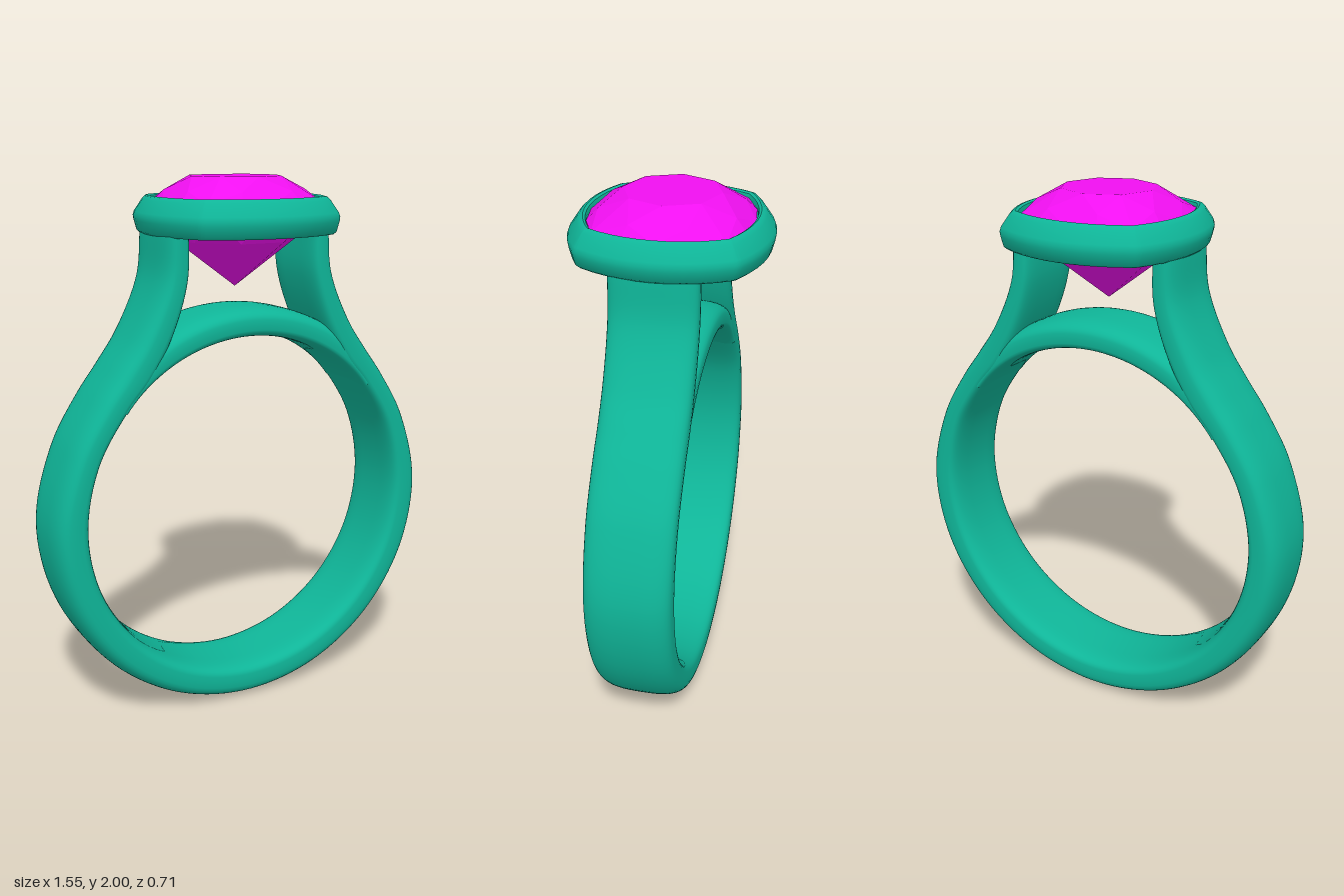
import * as THREE from 'three';
import { toCreasedNormals } from 'three/addons/utils/BufferGeometryUtils.js';
import { ConvexGeometry } from 'three/addons/geometries/ConvexGeometry.js';

const CENTRE_Y = 0.785, INNER_R = 0.645;
const GIRDLE_HALF = 0.288, CORNER = 0.226, SIDE_R = 0.443;

// Skin through closed loops of points; optionally joins the last loop to the first.
function loft(loops, closed = false) {
  const n = loops[0].length, index = [];
  const steps = closed ? loops.length : loops.length - 1;
  for (let i = 0; i < steps; i++) {
    const r = i * n, s = ((i + 1) % loops.length) * n;
    for (let j = 0; j < n; j++) {
      const k = (j + 1) % n;
      index.push(r + j, s + j, r + k, s + j, s + k, r + k);
    }
  }
  const g = new THREE.BufferGeometry().setFromPoints(loops.flat());
  g.setIndex(index);
  g.computeVertexNormals();
  return g;
}

// Rounded band section between an inner and an outer point.
function bandSection(inner, outer, halfWidth, sides = 40) {
  const loop = [];
  for (let j = 0; j < sides; j++) {
    const a = (j / sides) * Math.PI * 2, c = Math.cos(a), s = Math.sin(a);
    const e = c > 0 ? 2 / 3 : 2 / 4;
    const u = 0.45 + (c > 0 ? 0.55 : -0.45) * Math.abs(c) ** e;
    const p = new THREE.Vector3().lerpVectors(inner, outer, u);
    p.z = -halfWidth * Math.sign(s) * Math.abs(s) ** e;
    loop.push(p);
  }
  return loop;
}

function polar(r, deg) {
  const a = THREE.MathUtils.degToRad(deg);
  return new THREE.Vector3(r * Math.cos(a), CENTRE_Y + r * Math.sin(a), 0);
}

// Cushion outline: four bowed sides, grown outward by d (or scaled inward).
function cushion(d, y, sideSteps = 10, cornerSteps = 6) {
  const a = Math.asin(CORNER / SIDE_R), grow = Math.max(d, 0);
  const scale = d < 0 ? 1 + d / GIRDLE_HALF : 1;
  const pts = [];
  for (let q = 0; q < 4; q++) {
    const add = (x, z, ang) => {
      const v = new THREE.Vector3(x + grow * Math.cos(ang), 0, z + grow * Math.sin(ang));
      v.multiplyScalar(scale).applyAxisAngle(new THREE.Vector3(0, 1, 0), -q * Math.PI / 2);
      v.y = y;
      pts.push(v);
    };
    for (let i = 0; i <= sideSteps; i++) {
      const t = -a + (2 * a * i) / sideSteps;
      add(GIRDLE_HALF - SIDE_R + SIDE_R * Math.cos(t), SIDE_R * Math.sin(t), t);
    }
    for (let i = 1; i < cornerSteps; i++) {
      add(CORNER, CORNER, a + ((Math.PI / 2 - 2 * a) * i) / cornerSteps);
    }
  }
  return pts;
}

// Shank: lower hoop whose two ends sweep up to the setting.
function shankGeometry() {
  const v = ([x, y]) => new THREE.Vector3(x, y, 0);
  const inner = [[0.245, 1.82], [0.25, 1.65], [0.305, 1.47], [0.39, 1.32], [0.48, 1.216]].map(v);
  const outer = [[0.33, 1.82], [0.35, 1.65], [0.44, 1.46], [0.523, 1.345], [0.6, 1.24]].map(v);
  const hoop = [[22, 0.755], [0, 0.775], [-22.5, 0.78], [-45, 0.78], [-67.5, 0.78], [-90, 0.78]];
  for (const [deg, r] of hoop) {
    inner.push(polar(INNER_R, deg));
    outer.push(polar(r, deg));
  }
  const mirrored = (pts) => new THREE.CatmullRomCurve3(
    [...pts, ...pts.slice(0, -1).reverse().map((p) => new THREE.Vector3(-p.x, p.y, 0))]);
  const ci = mirrored(inner), co = mirrored(outer), loops = [];
  for (let i = 0; i <= 160; i++) {
    loops.push(bandSection(ci.getPoint(i / 160), co.getPoint(i / 160), 0.155));
  }
  return loft(loops);
}

// Bridge: arc closing the finger hole below the setting, thinning into the shank.
function bridgeGeometry() {
  const loops = [];
  for (let i = 0; i <= 50; i++) {
    const deg = 140 - 2 * i;
    const r = 0.755 - 0.06 * (Math.abs(deg - 90) / 50) ** 4;
    loops.push(bandSection(polar(INNER_R, deg), polar(r, deg), 0.15));
  }
  return loft(loops);
}

// Bezel: closed profile of [offset, height] carried round the cushion outline.
function bezelGeometry() {
  const profile = [
    [-0.07, 1.8], [0.045, 1.8], [0.055, 1.808], [0.065, 1.845], [0.067, 1.86], [0.062, 1.875],
    [0.032, 1.918], [0.022, 1.928], [0.012, 1.931], [0.003, 1.926], [0, 1.915], [0, 1.89], [-0.06, 1.82],
  ];
  return toCreasedNormals(loft(profile.map(([d, y]) => cushion(d, y)), true), 0.75);
}

// Gemstone: faceted hull of table, crown, girdle, pavilion and culet.
function gemGeometry() {
  const ring = (r, y, turn) => Array.from({ length: 8 }, (_, k) => {
    const a = ((k + turn) * Math.PI) / 4;
    return new THREE.Vector3(r * Math.cos(a), y, r * Math.sin(a));
  });
  return new ConvexGeometry([
    ...ring(0.172, 2, 0),
    ...ring(0.255, 1.952, 0.5),
    ...cushion(0, 1.912, 4, 1),
    ...cushion(0, 1.895, 4, 1),
    ...ring(0.222, 1.775, 0.5),
    new THREE.Vector3(0, 1.605, 0),
  ]);
}

export function createModel() {
  const group = new THREE.Group();
  group.name = 'ring';
  const metal = new THREE.MeshStandardMaterial({ color: 0x0fb598 });
  const stone = new THREE.MeshStandardMaterial({ color: 0xf010f0, flatShading: true });
  const add = (name, geometry, material) => {
    const mesh = new THREE.Mesh(geometry, material);
    mesh.name = name;
    group.add(mesh);
  };
  add('shank', shankGeometry(), metal);
  add('bridge', bridgeGeometry(), metal);
  add('bezel', bezelGeometry(), metal);
  add('gemstone', gemGeometry(), stone);
  return group;
}
